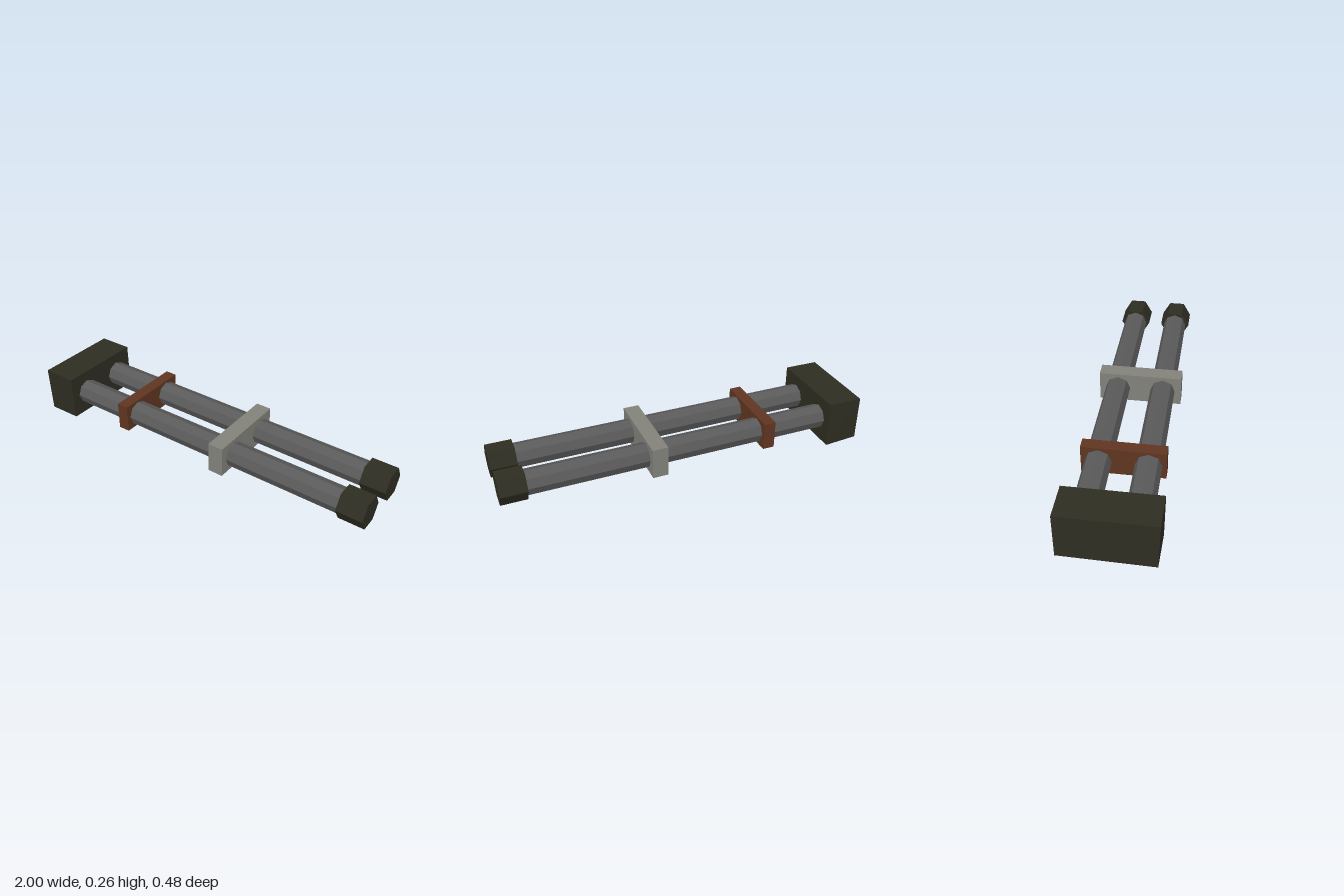
import * as THREE from 'three';

const AXIS_Y = 0.132; // height of both tubes
const TUBE_Z = 0.125; // sideways offset of each tube

function material(name, color) {
  const m = new THREE.MeshStandardMaterial({ color, flatShading: true });
  m.name = name;
  return m;
}

export function createModel() {
  const model = new THREE.Group();
  const dark = material('dark olive', 0x2e2d22);
  const steel = material('steel grey', 0x5a5a5a);
  const brown = material('rust brown', 0x5f3520);
  const pale = material('pale grey', 0x82827b);

  function add(name, geometry, mat) {
    const mesh = new THREE.Mesh(geometry, mat);
    mesh.name = name;
    model.add(mesh);
    return mesh;
  }

  // Faceted rod lying along x from x0 to x1
  function rod(name, radius, sides, x0, x1, z, mat) {
    const g = new THREE.CylinderGeometry(radius, radius, x1 - x0, sides);
    g.rotateZ(Math.PI / 2);
    add(name, g, mat).position.set((x0 + x1) / 2, AXIS_Y, z);
  }

  // Flat clamp across both tubes
  function clamp(name, x0, x1, y0, y1, halfZ, mat) {
    const g = new THREE.BoxGeometry(x1 - x0, y1 - y0, halfZ * 2);
    add(name, g, mat).position.set((x0 + x1) / 2, (y0 + y1) / 2, 0);
  }

  // Tubes with hexagonal end caps
  for (const [side, s] of [['front', 1], ['back', -1]]) {
    rod(side + 'Tube', 0.0675, 8, -0.83, 0.88, s * TUBE_Z, steel);
    rod(side + 'Cap', 0.0865, 6, 0.86, 1, s * TUBE_Z, dark);
  }

  // Clamps
  clamp('brownClamp', -0.485, -0.42, 0.055, 0.21, 0.214, brown);
  clamp('paleClamp', 0.14, 0.225, 0.048, 0.217, 0.2275, pale);

  // End block with slightly uneven corners, keyed by the signs of x, y, z
  const corners = {
    '1,1,1': [-0.81, 0.257, 0.242], '1,1,-1': [-0.81, 0.256, -0.237],
    '1,-1,1': [-0.81, 0.008, 0.238], '1,-1,-1': [-0.81, 0, -0.242],
    '-1,1,1': [-1, 0.257, 0.24], '-1,1,-1': [-1, 0.256, -0.236],
    '-1,-1,1': [-1, 0.001, 0.233], '-1,-1,-1': [-1, 0.008, -0.236],
  };
  const block = new THREE.BoxGeometry(2, 2, 2);
  const p = block.attributes.position;
  for (let i = 0; i < p.count; i++) {
    p.setXYZ(i, ...corners[[p.getX(i), p.getY(i), p.getZ(i)].join()]);
  }
  block.computeVertexNormals();
  add('endBlock', block, dark);

  return model;
}
